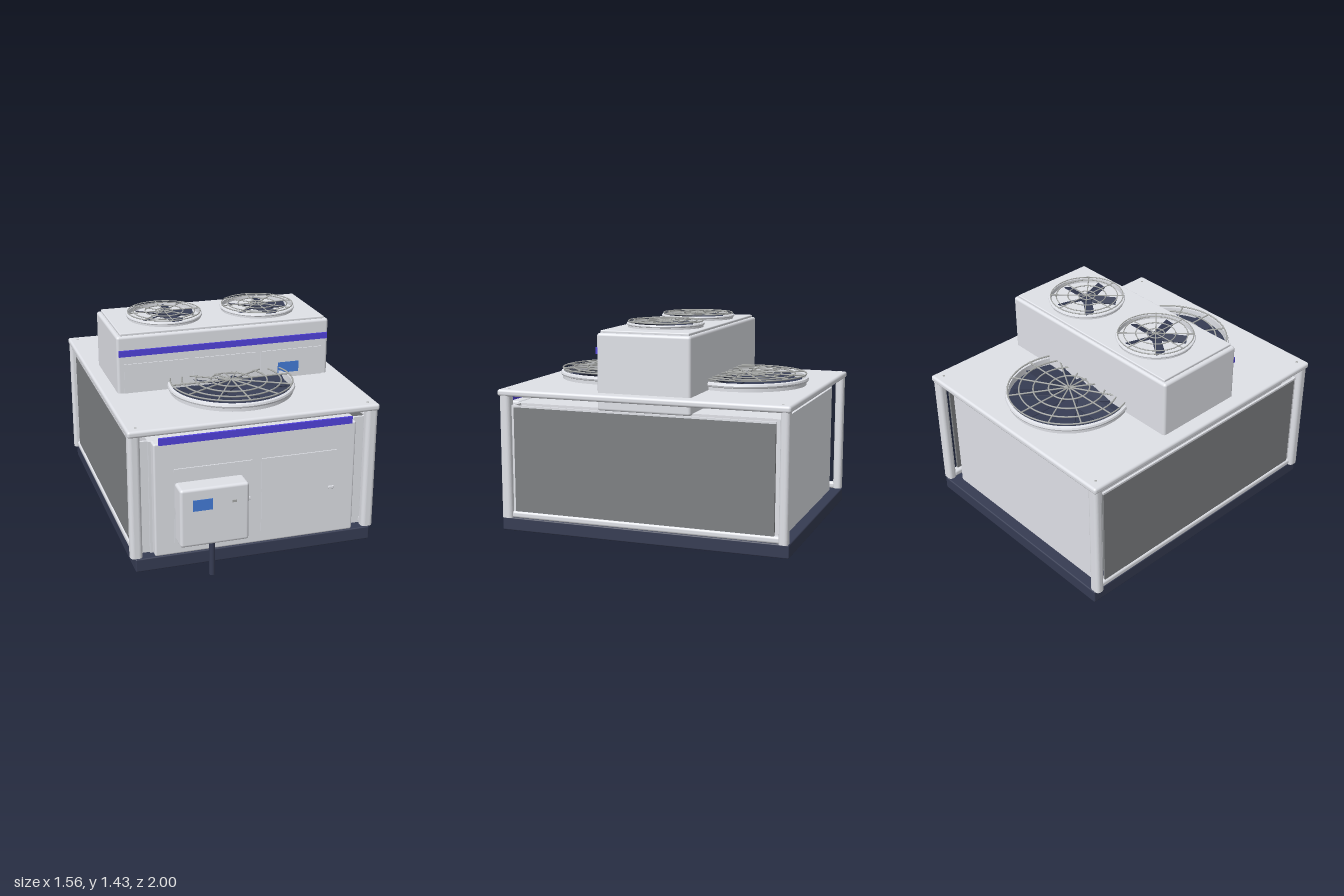
import * as THREE from 'three';
import { RoundedBoxGeometry } from 'three/addons/geometries/RoundedBoxGeometry.js';

const mat = (name, color) => {
  const m = new THREE.MeshStandardMaterial({ color, side: THREE.DoubleSide });
  m.name = name;
  return m;
};

export function createModel() {
  const model = new THREE.Group();
  const casing = mat('casing grey', 0xdfe1e7);
  const coil = mat('coil grey', 0x7e8083);
  const navy = mat('navy', 0x363c53);
  const blue = mat('blue', 0x447cd8);
  const violet = mat('violet', 0x5142dc);
  const wire = mat('wire grey', 0xa8aaa8);

  const add = (name, geo, material, x = 0, y = 0, z = 0, parent = model) => {
    const mesh = new THREE.Mesh(geo, material);
    mesh.name = name;
    mesh.position.set(x, y, z);
    parent.add(mesh);
    return mesh;
  };
  // Box given by its limits on each axis, optionally rounded
  const box = (name, material, [x0, x1], [y0, y1], [z0, z1], r = 0) => {
    const s = [x1 - x0, y1 - y0, z1 - z0];
    const geo = r ? new RoundedBoxGeometry(...s, 3, r) : new THREE.BoxGeometry(...s);
    return add(name, geo, material, (x0 + x1) / 2, (y0 + y1) / 2, (z0 + z1) / 2);
  };
  // Upright post with rounded vertical edges and flat ends
  const post = (name, x, z, w, d, r) => {
    const [a, b] = [w / 2, d / 2];
    const s = new THREE.Shape();
    s.moveTo(-a + r, -b);
    s.absarc(a - r, -b + r, r, -Math.PI / 2, 0);
    s.absarc(a - r, b - r, r, 0, Math.PI / 2);
    s.absarc(-a + r, b - r, r, Math.PI / 2, Math.PI);
    s.absarc(-a + r, -b + r, r, Math.PI, Math.PI * 1.5);
    const geo = new THREE.ExtrudeGeometry(s, { depth: 0.78, bevelEnabled: false, curveSegments: 8 });
    add(name, geo.rotateX(-Math.PI / 2), casing, x, 0.197, z);
  };

  // Base, main body and roof slab
  box('base', navy, [-0.75, 0.75], [0.11, 0.195], [-0.997, 0.862], 0.008);
  box('body', casing, [-0.645, 0.645], [0.19, 0.912], [-0.9, 0.8]);
  box('roofSlab', casing, [-0.78, 0.78], [0.97, 1.012], [-1, 0.866], 0.016);
  box('frontPanel', casing, [-0.63, 0.63], [0.195, 0.918], [0.79, 0.86], 0.012);
  box('backPanel', casing, [-0.655, 0.655], [0.195, 0.912], [-0.925, -0.89]);

  // Outer coil faces, rails and corner posts on both sides
  for (const s of [-1, 1]) {
    const span = (a, b) => (s > 0 ? [a, b] : [-b, -a]);
    box('coilFrame', casing, span(0.64, 0.742), [0.195, 0.912], [0.768, 0.785]);
    box('coilFace', coil, span(0.73, 0.745), [0.236, 0.9], [-0.905, 0.77]);
    box('coilTopStrip', casing, span(0.73, 0.744), [0.9, 0.912], [-0.905, 0.77]);
    box('bottomRail', casing, span(0.705, 0.755), [0.195, 0.238], [-0.95, 0.8], 0.015);
    post('frontPost', s * 0.739, 0.821, 0.074, 0.07, 0.025);
    post('backPost', s * 0.739, -0.964, 0.074, 0.056, 0.022);
    for (const z of [-0.94, 0.81]) {
      add('roofScrew', new THREE.CylinderGeometry(0.008, 0.008, 0.003, 12), wire, s * 0.72, 1.0115, z);
    }
  }

  // Front doors, handles and trim
  for (const [x0, x1, hx] of [[-0.51, -0.03, -0.06], [0.03, 0.51, 0.475]]) {
    box('door', casing, [x0, x1], [0.27, 0.75], [0.86, 0.868]);
    box('doorHandle', casing, [hx - 0.018, hx + 0.018], [0.5, 0.518], [0.868, 0.88], 0.004);
  }
  box('lowerTrim', violet, [-0.6, 0.6], [0.91, 0.953], [0.855, 0.87]);

  // Control box with display, latch and conduit
  box('controlBox', casing, [-0.51, -0.09], [0.3, 0.67], [0.865, 0.996], 0.018);
  box('display', blue, [-0.435, -0.315], [0.53, 0.6], [0.992, 0.999]);
  box('latch', wire, [-0.195, -0.17], [0.558, 0.572], [0.992, 1.0]);
  add('conduit', new THREE.CylinderGeometry(0.018, 0.018, 0.24, 20), navy, -0.298, 0.185, 0.928);

  // Upper fan box with its front panels
  box('upperBox', casing, [-0.69, 0.69], [0.9, 1.375], [-0.37, 0.23], 0.018);
  box('upperLid', casing, [-0.665, 0.665], [1.37, 1.39], [-0.352, 0.214], 0.006);
  for (const x of [-0.445, -0.003, 0.44]) {
    box('upperPanel', casing, [x - 0.204, x + 0.204], [1.0, 1.198], [0.229, 0.237]);
  }
  box('upperDisplay', blue, [0.35, 0.49], [1.045, 1.115], [0.234, 0.238]);
  box('upperTrim', violet, [-0.68, 0.68], [1.248, 1.287], [0.228, 0.241]);

  // Fan: collar, rotor and wire guard, standing on its own y = 0
  const fan = (name, x, y, z, r, h, { blades, bladeWidth, bladeLength, spokes, rings, floor }) => {
    const g = new THREE.Group();
    g.name = name;
    g.position.set(x, y, z);
    model.add(g);
    const profile = [[0.95, 0], [0.965, 0], [0.965, 0.28], [0.99, 0.34], [1, 0.48], [0.99, 0.64], [0.95, 0.7], [0.95, 0]];
    for (let i = 0; i < profile.length - 1; i++) {
      const pts = [profile[i], profile[i + 1]].map(([a, b]) => new THREE.Vector2(a * r, b * h));
      add('collar', new THREE.LatheGeometry(pts, 64), casing, 0, 0, 0, g);
    }
    if (floor) add('fanWell', new THREE.CylinderGeometry(0.95 * r, 0.95 * r, 0.004, 64), navy, 0, 0.002, 0, g);
    add('hub', new THREE.CylinderGeometry(r * 0.16, r * 0.16, h * 0.5, 32), navy, 0, h * 0.3, 0, g);
    for (let i = 0; i < blades; i++) {
      const arm = new THREE.Group();
      arm.rotation.y = (i / blades) * Math.PI * 2;
      g.add(arm);
      const blade = add('blade', new THREE.BoxGeometry(bladeLength, 0.006, bladeWidth), navy, r * 0.1 + bladeLength / 2, h * 0.35, 0, arm);
      blade.rotation.x = Math.asin((h * 0.5) / bladeWidth);
    }
    const t = r * 0.01 + 0.001;
    for (const k of rings) {
      const ring = add('guardRing', new THREE.TorusGeometry(r * k, t, 6, 56), wire, 0, h - t, 0, g);
      ring.rotation.x = Math.PI / 2;
    }
    for (let i = 0; i < spokes; i++) {
      const arm = new THREE.Group();
      arm.rotation.y = (i / spokes) * Math.PI * 2;
      g.add(arm);
      const spoke = add('guardSpoke', new THREE.CylinderGeometry(t, t, r * 0.95, 6), wire, r * 0.495, h - t, 0, arm);
      spoke.rotation.z = Math.PI / 2;
    }
  };
  for (const z of [0.36, -0.51]) {
    fan('largeFan', 0, 1.012, z, 0.396, 0.073, {
      blades: 8, bladeWidth: 0.12, bladeLength: 0.31, spokes: 12, rings: [0.96, 0.78, 0.56, 0.32], floor: true,
    });
  }
  for (const x of [-0.312, 0.312]) {
    fan('smallFan', x, 1.39, -0.075, 0.243, 0.041, {
      blades: 5, bladeWidth: 0.055, bladeLength: 0.165, spokes: 8, rings: [0.95, 0.8, 0.5, 0.22], floor: false,
    });
  }

  // Crossed pipes under the base, with flanges and bolts
  const pipes = new THREE.Group();
  pipes.name = 'pipeCross';
  pipes.position.set(0, 0.11, -0.065);
  model.add(pipes);
  const pipe = (name, axis, a, b, r) => {
    const m = add(name, new THREE.CylinderGeometry(r, r, b - a, 40), blue, 0, 0, 0, pipes);
    m.position[axis] = (a + b) / 2;
    if (axis === 'x') m.rotation.z = Math.PI / 2;
    else m.rotation.x = Math.PI / 2;
  };
  pipe('crossPipe', 'x', -0.215, 0.285, 0.076);
  pipe('pipeSleeve', 'x', -0.215, 0.2, 0.084);
  pipe('pipeStub', 'x', -0.3, -0.215, 0.072);
  pipe('pipeFlange', 'x', 0.277, 0.296, 0.103);
  pipe('mainPipe', 'z', -0.175, 0.175, 0.084);
  for (const s of [-1, 1]) pipe('mainFlange', 'z', s * 0.18 - 0.008, s * 0.18 + 0.008, 0.106);
  box('flangePlate', wire, [-0.06, 0.06], [0.08, 0.112], [-0.258, -0.25]);
  for (const a of [-0.9, 0, 0.9]) {
    const bolt = add('bolt', new THREE.CylinderGeometry(0.008, 0.008, 0.036, 6), blue, 0.287, -Math.cos(a) * 0.093, Math.sin(a) * 0.093, pipes);
    bolt.rotation.z = Math.PI / 2;
  }
  return model;
}
